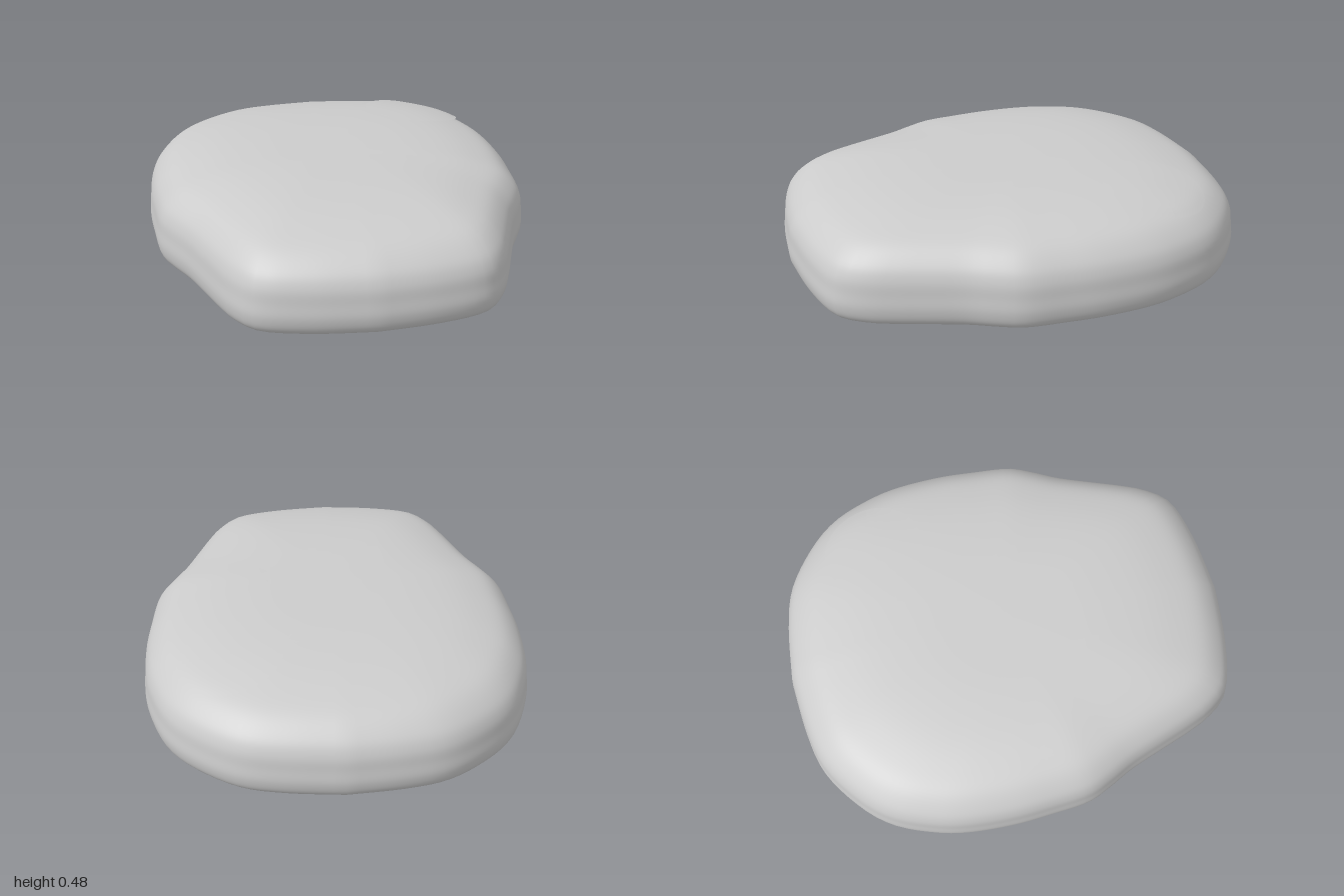
import * as THREE from 'three';
import { mergeVertices } from 'three/addons/utils/BufferGeometryUtils.js';

const v2 = ([x, y]) => new THREE.Vector2(x, y);

// Half of the plan outline (x, z), from the front tip to the back tip
const half = [[0, 0.995], [0.25, 0.97], [0.46, 0.915], [0.55, 0.82], [0.6, 0.715], [0.65, 0.58], [0.71, 0.42],
  [0.77, 0.3], [0.815, 0.19], [0.832, 0.02], [0.842, -0.15], [0.832, -0.35], [0.8, -0.5], [0.73, -0.67],
  [0.62, -0.8], [0.44, -0.925], [0.25, -0.975], [0, -1]];
const polar = new THREE.SplineCurve(half.map(v2)).getPoints(240)
  .map((p) => ({ a: Math.abs(Math.atan2(p.x, p.y)), r: p.length() }));

// Outline radius in a direction, measured from the front
function radiusAt(x, z) {
  const a = Math.atan2(Math.abs(x), z);
  let i = polar.findIndex((p) => p.a >= a);
  if (i < 0) i = polar.length - 1;
  if (i === 0) return polar[0].r;
  const p = polar[i - 1], q = polar[i];
  return THREE.MathUtils.lerp(p.r, q.r, Math.min(1, (a - p.a) / (q.a - p.a)));
}

// Edge profile (fraction of the outline, height), from under the centre to the top centre
const profile = new THREE.SplineCurve([[0, 0], [0.35, 0.004], [0.7, 0.018], [0.86, 0.035], [0.945, 0.055],
  [0.985, 0.085], [1, 0.14], [0.995, 0.2], [0.985, 0.265], [0.95, 0.325], [0.87, 0.385], [0.75, 0.421],
  [0.6, 0.446], [0.4, 0.461], [0.2, 0.465], [0, 0.466]].map(v2)).getPoints(75);
profile[0].x = profile[75].x = 0;

// Height of the top surface at a plan position
function topHeight(x, z) {
  const s = Math.hypot(x, z) / radiusAt(x, z);
  for (let i = 75; i > 40; i--) {
    const p = profile[i], q = profile[i - 1];
    if (s <= q.x) return THREE.MathUtils.lerp(p.y, q.y, (s - p.x) / (q.x - p.x));
  }
  return 0.2;
}

// Lays a flat sheet, drawn in x and y (y becomes z), just above the top surface
function drape(geometry, lift) {
  const pos = geometry.attributes.position;
  for (let i = 0; i < pos.count; i++) {
    const x = pos.getX(i), z = pos.getY(i);
    pos.setXYZ(i, x, topHeight(x, z) + lift, z);
  }
  // turn the faces upward after swapping the axes
  const index = geometry.index.array;
  for (let i = 0; i < index.length; i += 3) [index[i], index[i + 1]] = [index[i + 1], index[i]];
  geometry.computeVertexNormals();
  return geometry;
}

export function createModel() {
  const group = new THREE.Group();
  const material = new THREE.MeshStandardMaterial({ color: 0xcccccc });
  const sheetMaterial = new THREE.MeshStandardMaterial({ color: 0xcccccc, side: THREE.DoubleSide });
  const add = (name, geometry, mat) => {
    const mesh = new THREE.Mesh(geometry, mat);
    mesh.name = name;
    group.add(mesh);
  };

  // Rounded slab: a lathe stretched to the plan outline
  let body = new THREE.LatheGeometry(profile, 128);
  const pos = body.attributes.position;
  for (let i = 0; i < pos.count; i++) {
    const x = pos.getX(i), z = pos.getZ(i), r = radiusAt(x, z);
    pos.setX(i, x * r);
    pos.setZ(i, z * r);
  }
  body.deleteAttribute('normal');
  body.deleteAttribute('uv');
  body = mergeVertices(body, 1e-5);
  body.computeVertexNormals();
  add('body', body, material);

  // Round spots draped over the top
  for (const [name, x, z, r] of [['largeSpot', 0.455, -0.515, 0.223], ['smallSpot', 0.175, -0.435, 0.035]]) {
    const disc = new THREE.RingGeometry(0, r, 64, 10);
    disc.translate(x, z, 0);
    add(name, drape(disc, 0.014), sheetMaterial);
  }

  // Curved score marks: start and end points, and sideways bulge of each edge
  const marks = [
    [-0.196, 0.01, -0.178, 0.4, -0.045, -0.002],
    [0.065, -0.05, 0.058, 0.38, 0.044, 0.012],
    [0.287, 0.01, 0.271, 0.38, 0.043, 0.007],
  ];
  marks.forEach(([x0, z0, x1, z1, outer, inner], i) => {
    const strip = new THREE.PlaneGeometry(1, 1, 1, 28);
    const p = strip.attributes.position;
    for (let k = 0; k < p.count; k++) {
      const t = p.getY(k) + 0.5;
      const bow = 4 * t * (1 - t);
      const side = p.getX(k) * Math.sign(outer) > 0 ? 1 : -1;
      const tip = 0.009 * Math.sqrt(Math.max(0, 1 - (2 * t - 1) ** 8));
      const x = THREE.MathUtils.lerp(x0, x1, t) + (side > 0 ? outer : inner) * bow + side * Math.sign(outer) * tip;
      p.setXY(k, x, THREE.MathUtils.lerp(z0 - 0.01, z1 + 0.01, t));
    }
    add('scoreMark' + (i + 1), drape(strip, 0.013), sheetMaterial);
  });

  return group;
}
